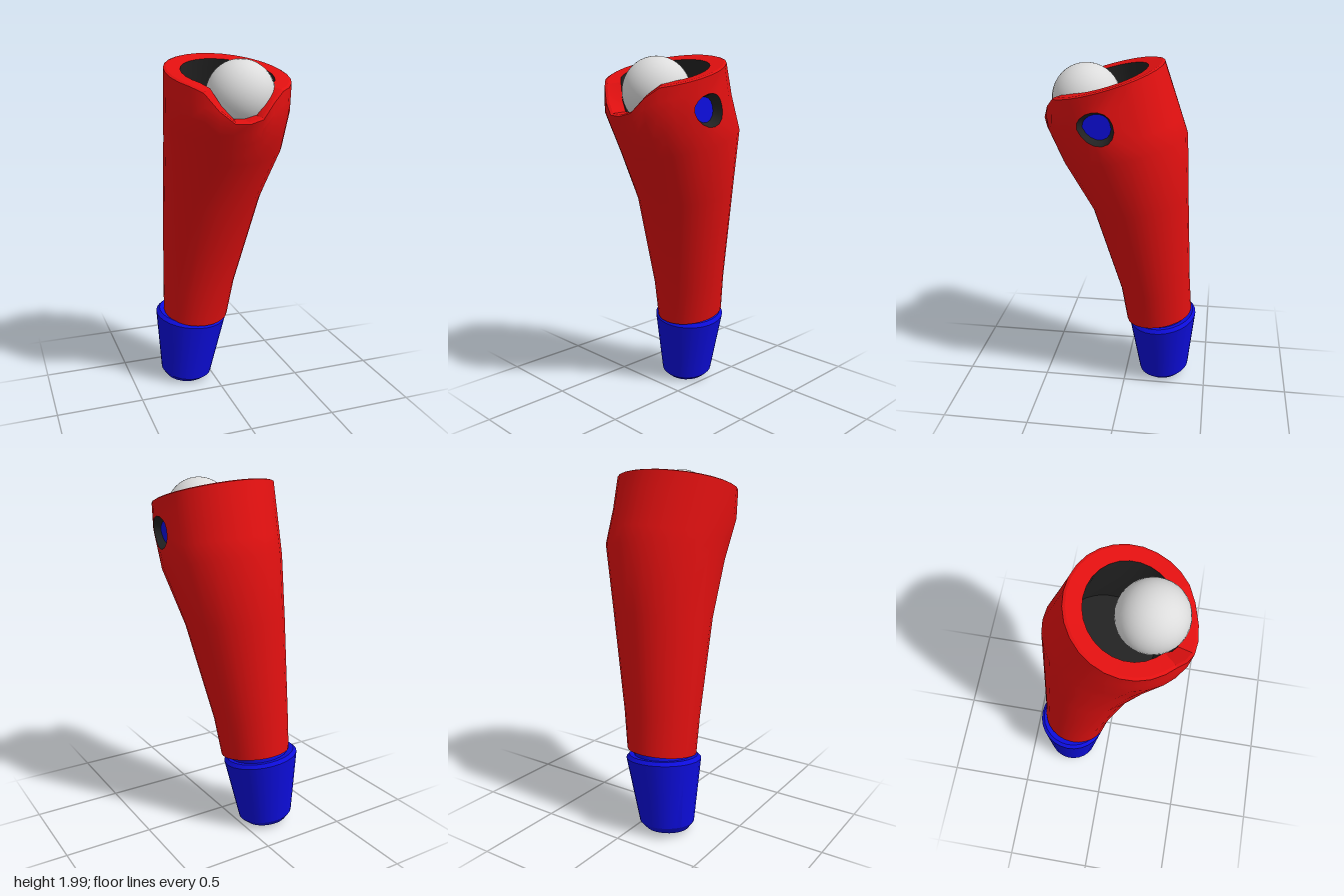
import * as THREE from 'three';
import { toCreasedNormals } from 'three/addons/utils/BufferGeometryUtils.js';

const SEG = 28;
const STEP = (Math.PI * 2) / SEG;

// Sleeve cross-sections, bottom to top: centre x, y, z, radius x, radius z, tilt along z, tilt along x
const SLEEVE = [
  [-0.10, 0.455, -0.205, 0.195, 0.195, 0.18, 0.02],
  [-0.085, 0.67, -0.18, 0.215, 0.205, 0.15, 0],
  [-0.03, 1.22, -0.09, 0.28, 0.27, 0.15, 0],
  [0.008, 1.54, -0.008, 0.327, 0.338, 0.24, 0],
  [0.0, 1.745, 0.075, 0.338, 0.355, 0.18, 0.02],
  [0.0, 1.905, 0.098, 0.342, 0.313, 0.28, 0.04],
];

// Point on a tilted ellipse
function ellipsePoint([cx, cy, cz, rx, rz, sz = 0, sx = 0], a, inset = 0) {
  const dx = (rx - inset) * Math.cos(a);
  const dz = (rz - inset) * Math.sin(a);
  return new THREE.Vector3(cx + dx, cy - sz * dz - sx * dx, cz + dz);
}

// Point on the sleeve at an angle and a fractional cross-section level
function sleevePoint(a, level, inset = 0) {
  const i = Math.min(Math.floor(level), SLEEVE.length - 2);
  return ellipsePoint(SLEEVE[i], a, inset).lerp(ellipsePoint(SLEEVE[i + 1], a, inset), level - i);
}

// Level of the rim: dips in a rounded notch at the front
function rimLevel(a) {
  const off = Math.abs(Math.atan2(Math.sin(a - 1.63), Math.cos(a - 1.63)));
  return 5 - (1 - THREE.MathUtils.smoothstep(off, 0.15, 0.72));
}

const ring = (f, n = SEG) => Array.from({ length: n }, (_, i) => f(i * STEP, i));
const ellipse = (s) => ring((a) => ellipsePoint(s, a));

// Ring shrunk to its middle, for closing an end
function closed(r) {
  const c = r.reduce((s, p) => s.add(p), new THREE.Vector3()).divideScalar(r.length);
  return r.map(() => c);
}

// Triangles between successive rings, optionally skipping cells
function loft(rings, skip = () => false) {
  const out = [];
  for (let j = 0; j < rings.length - 1; j++) {
    const lo = rings[j], hi = rings[j + 1], n = lo.length;
    for (let i = 0; i < n; i++) {
      if (skip(i, j)) continue;
      const k = (i + 1) % n;
      for (const t of [[lo[i], hi[i], lo[k]], [lo[k], hi[i], hi[k]]]) {
        const flat = t[0].equals(t[1]) || t[1].equals(t[2]) || t[0].equals(t[2]);
        if (!flat) out.push(...t);
      }
    }
  }
  return out;
}

function toMesh(name, points, material, crease = 0.6) {
  const g = new THREE.BufferGeometry().setFromPoints(points);
  const mesh = new THREE.Mesh(toCreasedNormals(g, crease), material);
  mesh.name = name;
  return mesh;
}

function mat(name, color) {
  const m = new THREE.MeshStandardMaterial({ color });
  m.name = name;
  return m;
}

export function createModel() {
  const red = mat('red', 0xe01010);
  const blue = mat('blue', 0x0d0ddd);
  const dark = mat('charcoal', 0x222222);
  const white = mat('lightGrey', 0xdcdcdc);
  const model = new THREE.Group();
  model.name = 'sleeveWithBall';

  // Sleeve wall, with a block of cells left open around the button hole
  const rowLevel = (a, k) => 3 + (rimLevel(a) - 3) * (k / 4);
  const rows = [0, 1, 2].map((l) => ring((a) => sleevePoint(a, l)));
  for (let k = 0; k <= 4; k++) rows.push(ring((a) => sleevePoint(a, rowLevel(a, k))));
  const rim = [
    rows[rows.length - 1],
    ring((a) => sleevePoint(a, rimLevel(a), 0.014).add(new THREE.Vector3(0, 0.006, 0))),
    ring((a) => sleevePoint(a, rimLevel(a), 0.088)),
  ];
  const inBlock = (i, j) => (i >= SEG - 2 || i < 2) && j >= 3;

  // Patch from the open block to the round hole
  const frame = [], hole = [];
  for (let k = 0; k < 16; k++) {
    const t = (k * Math.PI) / 8, u = -Math.sin(t), v = Math.cos(t);
    const m = 2 / Math.max(Math.abs(u), Math.abs(v));
    const a = Math.round(u * m) * STEP;
    frame.push(sleevePoint(a, rowLevel(a, 2 + Math.round(v * m))));
    hole.push(sleevePoint(0.1 + 0.265 * u, 3.95 + 0.48 * v));
  }
  const wall = [...loft(rows, inBlock), ...loft([frame, hole])];
  model.add(toMesh('sleeve', wall, red));
  model.add(toMesh('sleeveRim', loft(rim), red, 0.3));
  model.add(toMesh('sleeveBottom', loft([closed(rows[0]), rows[0]]), red));

  // Dark cup inside the sleeve
  const cup = [
    rim[2],
    ring((a) => sleevePoint(a, 3 + (rimLevel(a) - 3) * 0.5, 0.095)),
    ring((a) => sleevePoint(a, 3, 0.1)),
  ];
  model.add(toMesh('innerCup', loft([...cup, closed(cup[2])]), dark));

  // Recessed button on the left side
  const mid = closed(hole)[0];
  const seat = hole.map((p) => p.clone().sub(mid).multiplyScalar(0.76).add(mid).setX(mid.x - 0.045));
  model.add(toMesh('buttonRecess', loft([hole, seat]), dark));
  model.add(toMesh('button', loft([seat, closed(seat)]), blue));

  // Ball resting in the cup
  const ball = new THREE.Mesh(new THREE.SphereGeometry(0.184, 32, 20), white);
  ball.name = 'ball';
  ball.position.set(0.035, 1.802, 0.195);
  model.add(ball);

  // Tapered foot cap with bevelled ends
  const foot = [
    [-0.16, 0.016, -0.24, 0.125, 0.12, 0.1, 0.06],
    [-0.157, 0.05, -0.238, 0.155, 0.152, 0.12, 0.09],
    [-0.125, 0.425, -0.225, 0.214, 0.202, 0.125, 0.09],
    [-0.123, 0.445, -0.224, 0.196, 0.186, 0.125, 0.09],
    [-0.122, 0.44, -0.222, 0.16, 0.155, 0.125, 0.09],
  ].map(ellipse);
  model.add(toMesh('footCap', loft([closed(foot[0]), ...foot]), blue, 0.5));

  // Neck joining foot cap and sleeve
  const neck = [
    [-0.122, 0.41, -0.222, 0.165, 0.16, 0.125, 0.05],
    [-0.1, 0.5, -0.205, 0.165, 0.16, 0.15, 0.02],
  ].map(ellipse);
  model.add(toMesh('neck', loft(neck), blue));

  return model;
}
